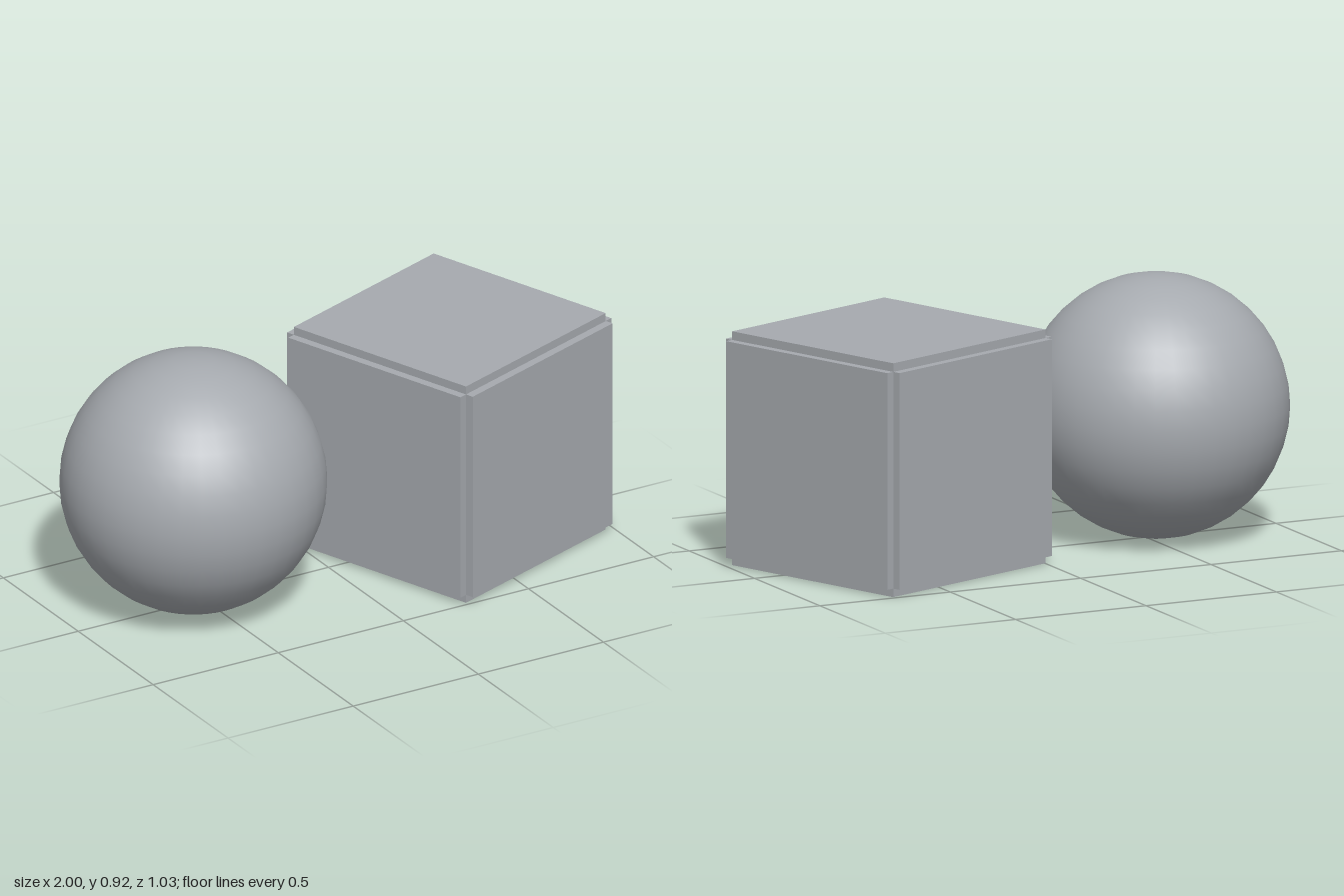
import * as THREE from 'three';

export function createModel() {
  const model = new THREE.Group();
  const grey = new THREE.MeshStandardMaterial({ color: 0xa6aaaf });
  grey.name = 'grey';

  // Smooth ball resting on the ground
  const ball = new THREE.Mesh(new THREE.SphereGeometry(0.46, 40, 20), grey);
  ball.name = 'ball';
  ball.position.set(-0.54, 0.46, 0);
  model.add(ball);

  // Cube with six raised faces: three crossing blocks, each long along one axis
  const cube = new THREE.Group();
  cube.name = 'cube';
  cube.position.set(0.485, 0.41, 0);
  cube.rotation.y = THREE.MathUtils.degToRad(20);
  const long = 0.82, short = 0.76;
  ['sideFaces', 'topAndBottomFaces', 'frontAndBackFaces'].forEach((name, axis) => {
    const size = [short, short, short];
    size[axis] = long;
    const block = new THREE.Mesh(new THREE.BoxGeometry(...size), grey);
    block.name = name;
    cube.add(block);
  });
  model.add(cube);

  return model;
}
